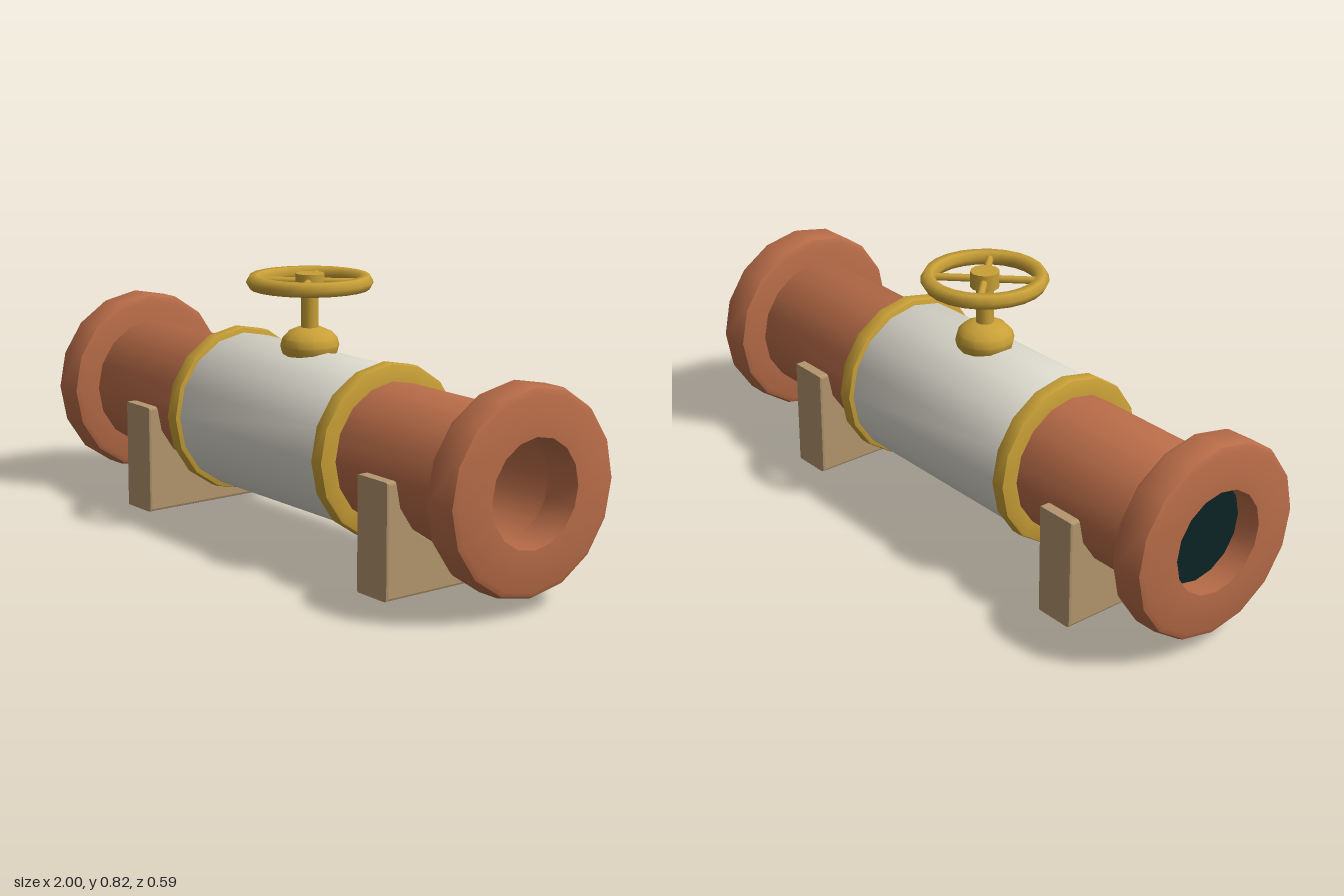
import * as THREE from 'three';
import { toCreasedNormals } from 'three/addons/utils/BufferGeometryUtils.js';

const AXIS_Y = 0.343; // height of the pipe axis
const material = (name, color) => {
  const m = new THREE.MeshStandardMaterial({ color });
  m.name = name;
  return m;
};

// Lathe with sharp profile corners and smooth sides
const turned = (points, sides) =>
  toCreasedNormals(new THREE.LatheGeometry(points.map(p => new THREE.Vector2(...p)), sides), 0.6);

// Closed sleeve along x with chamfered outer rims
function sleeve(x0, x1, outer, inner, bevel, sides = 16) {
  const c = bevel * 0.3;
  return turned([
    [inner, x0], [outer - bevel, x0], [outer - c, x0 + c], [outer, x0 + bevel],
    [outer, x1 - bevel], [outer - c, x1 - c], [outer - bevel, x1], [inner, x1], [inner, x0],
  ], sides).rotateZ(-Math.PI / 2);
}

export function createModel() {
  const model = new THREE.Group();
  model.name = 'pipeValve';
  const copper = material('copper', 0xb86c48);
  const white = material('offWhite', 0xdcd9cd);
  const brass = material('brass', 0xc9a037);
  const tan = material('tan', 0xb3966e);
  const dark = material('darkTeal', 0x0c2325);
  dark.side = THREE.DoubleSide;

  const add = (parent, name, geometry, mat, x = 0, y = 0, z = 0) => {
    const mesh = new THREE.Mesh(geometry, mat);
    mesh.name = name;
    mesh.position.set(x, y, z);
    parent.add(mesh);
    return mesh;
  };

  // Hollow pipe and the pale valve body
  add(model, 'pipe', sleeve(-0.9, 0.9, 0.208, 0.167, 0.004), copper, 0, AXIS_Y);
  add(model, 'valveBody', sleeve(-0.36, 0.36, 0.244, 0.2, 0.004), white, 0, AXIS_Y);

  // Saddle outline: block with a round seat for the pipe
  const saddle = new THREE.Shape();
  const b = 0.008, seat = 0.2;
  saddle.moveTo(-0.24 + b, b);
  saddle.lineTo(0.24 - b, b);
  saddle.lineTo(0.24 - b, 0.342 - b);
  saddle.lineTo(seat, 0.342 - b);
  saddle.absarc(0, 0.342 - b, seat, 0, Math.PI, true);
  saddle.lineTo(-0.24 + b, 0.342 - b);
  saddle.closePath();
  const saddleGeometry = new THREE.ExtrudeGeometry(saddle, {
    depth: 0.134 - 2 * b, bevelSize: b, bevelThickness: b, bevelSegments: 2, curveSegments: 16,
  });
  saddleGeometry.translate(0, 0, -(0.134 - 2 * b) / 2).rotateY(Math.PI / 2);

  for (const [side, s] of [['left', 1], ['right', -1]]) {
    const mid = s * 0.942;
    add(model, side + 'Flange', sleeve(-0.058, 0.058, 0.297, 0.157, 0.022), copper, mid, AXIS_Y);
    add(model, side + 'Collar', sleeve(-0.025, 0.025, 0.261, 0.2, 0.008), brass, s * 0.37, AXIS_Y);
    add(model, side + 'Support', saddleGeometry, tan, s * 0.598);
  }

  // Dark plug recessed in the right end
  add(model, 'plug', new THREE.CircleGeometry(0.16, 16).rotateY(-Math.PI / 2), dark, -0.92, AXIS_Y);

  // Bonnet and stem
  add(model, 'bonnet', turned([
    [0.07, 0.55], [0.085, 0.58], [0.09, 0.6], [0.084, 0.622], [0.066, 0.641], [0.036, 0.654], [0, 0.656],
  ], 12), brass);
  add(model, 'stem', new THREE.CylinderGeometry(0.027, 0.027, 0.16, 12), brass, 0, 0.71);

  // Handwheel with hub and four diagonal spokes
  const wheel = new THREE.Group();
  wheel.name = 'handwheel';
  wheel.position.y = 0.793;
  model.add(wheel);
  const rim = new THREE.TorusGeometry(0.168, 0.024, 6, 24).rotateX(Math.PI / 2);
  add(wheel, 'rim', rim, brass);
  add(wheel, 'hub', new THREE.CylinderGeometry(0.044, 0.044, 0.05, 12), brass);
  for (let i = 0; i < 2; i++) {
    const bar = new THREE.CylinderGeometry(0.012, 0.012, 0.33, 8).rotateZ(Math.PI / 2);
    add(wheel, 'spokePair', bar, brass).rotation.y = Math.PI / 4 + i * Math.PI / 2;
  }
  return model;
}
